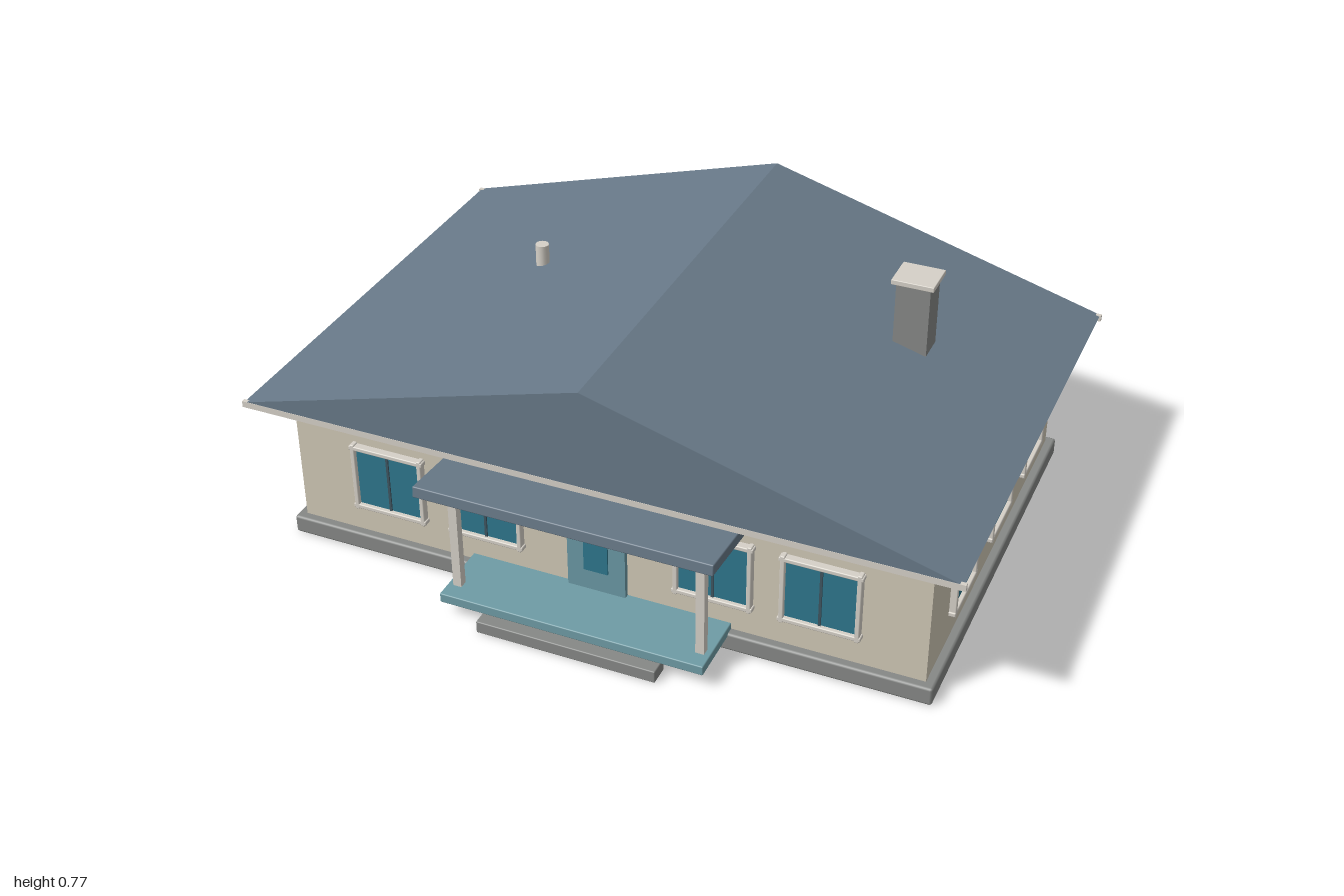
import * as THREE from 'three';
import { RoundedBoxGeometry } from 'three/addons/geometries/RoundedBoxGeometry.js';

const mat = (color) => new THREE.MeshStandardMaterial({ color });

export function createModel() {
  const house = new THREE.Group();
  house.name = 'house';

  const wall = mat(0xd0c8b6), roofBlue = mat(0x687988), stone = mat(0x868886);
  const trim = mat(0xd6d1c8), glass = mat(0x2f778d), teal = mat(0x6f9ca5);
  const doorBlue = mat(0x6a98a4), dark = mat(0x3f5560), amber = mat(0xd9a45c);

  function add(parent, name, geometry, material, x = 0, y = 0, z = 0) {
    const m = new THREE.Mesh(geometry, material);
    m.name = name;
    m.position.set(x, y, z);
    parent.add(m);
    return m;
  }

  // Box given by its limits on each axis, optionally with chamfered edges
  function block(parent, name, material, [x0, x1], [y0, y1], [z0, z1], bevel = 0) {
    const s = [x1 - x0, y1 - y0, z1 - z0];
    const g = bevel ? new RoundedBoxGeometry(...s, 1, bevel) : new THREE.BoxGeometry(...s);
    return add(parent, name, g, material, (x0 + x1) / 2, (y0 + y1) / 2, (z0 + z1) / 2);
  }

  // Body
  block(house, 'foundation', stone, [-0.925, 0.925], [0, 0.053], [-0.67, 0.545], 0.007);
  block(house, 'walls', wall, [-0.9, 0.9], [0.05, 0.452], [-0.645, 0.52]);

  // Gable roof: triangular prism with its ridge along z
  const gable = new THREE.Shape([
    new THREE.Vector2(-0.995, 0.452),
    new THREE.Vector2(0.995, 0.452),
    new THREE.Vector2(0, 0.737),
  ]);
  add(house, 'roof', new THREE.ExtrudeGeometry(gable, { depth: 1.354, bevelEnabled: false }),
    roofBlue, 0, 0, -0.742);
  for (const [name, z] of [['frontFascia', 0.607], ['backFascia', -0.736]]) {
    block(house, name, trim, [-1, 1], [0.437, 0.455], [z - 0.006, z + 0.006]);
  }

  // Chimney and vent pipe
  block(house, 'chimney', stone, [0.553, 0.648], [0.5, 0.757], [-0.256, -0.171]);
  block(house, 'chimneyCap', trim, [0.541, 0.659], [0.755, 0.77], [-0.268, -0.161], 0.002);
  add(house, 'ventPipe', new THREE.CylinderGeometry(0.019, 0.019, 0.16, 16), trim, -0.478, 0.582, -0.148);

  // Window facing +z, with four overlapping frame bars
  function makeWindow(name, w, h, mullion) {
    const g = new THREE.Group();
    g.name = name;
    const t = 0.013, e = 0.004;
    add(g, 'pane', new THREE.BoxGeometry(w, h, 0.016), glass, 0, 0, 0);
    for (const s of [-1, 1]) {
      add(g, 'frameRail', new RoundedBoxGeometry(w + 2 * (t + e), t, 0.03, 1, 0.003), trim, 0, s * (h + t) / 2, 0.005);
      add(g, 'frameStile', new RoundedBoxGeometry(t, h + 2 * (t + e), 0.03, 1, 0.003), trim, s * (w + t) / 2, 0, 0.005);
    }
    if (mullion) add(g, 'mullion', new THREE.BoxGeometry(0.007, h, 0.02), dark, 0, 0, 0.002);
    return g;
  }

  function placeWindow(name, w, mullion, x, z, turn) {
    const g = makeWindow(name, w, 0.176, mullion);
    g.position.set(x, 0.238, z);
    g.rotation.y = turn;
    house.add(g);
  }

  for (const x of [-0.617, -0.326, 0.326, 0.617]) placeWindow('frontWindow', 0.19, true, x, 0.521, 0);
  for (const x of [-0.63, -0.21, 0.21, 0.63]) placeWindow('backWindow', 0.17, false, x, -0.643, Math.PI);
  for (const z of [-0.414, -0.09, 0.25]) {
    placeWindow('leftWindow', 0.17, false, 0.899, z, Math.PI / 2);
    placeWindow('rightWindow', 0.17, false, -0.899, z, -Math.PI / 2);
  }

  // Front door and lamp
  block(house, 'door', doorBlue, [-0.084, 0.082], [0.068, 0.342], [0.51, 0.535]);
  block(house, 'doorPane', glass, [-0.035, 0.034], [0.135, 0.29], [0.52, 0.54]);
  block(house, 'wallLamp', amber, [0.115, 0.14], [0.28, 0.316], [0.515, 0.546]);

  // Porch
  const porch = new THREE.Group();
  porch.name = 'porch';
  house.add(porch);
  block(porch, 'deck', teal, [-0.375, 0.375], [0.043, 0.071], [0.5, 0.71], 0.003);
  block(porch, 'step', stone, [-0.255, 0.255], [0, 0.036], [0.679, 0.738], 0.003);
  for (const s of [-1, 1]) {
    block(porch, 'post', trim, [s * 0.347 - 0.012, s * 0.347 + 0.012], [0.068, 0.392], [0.64, 0.664]);
  }
  const canopy = block(porch, 'canopy', roofBlue, [-0.413, 0.413], [0.382, 0.414], [0.495, 0.742], 0.003);
  canopy.rotation.x = -0.09;

  return house;
}
